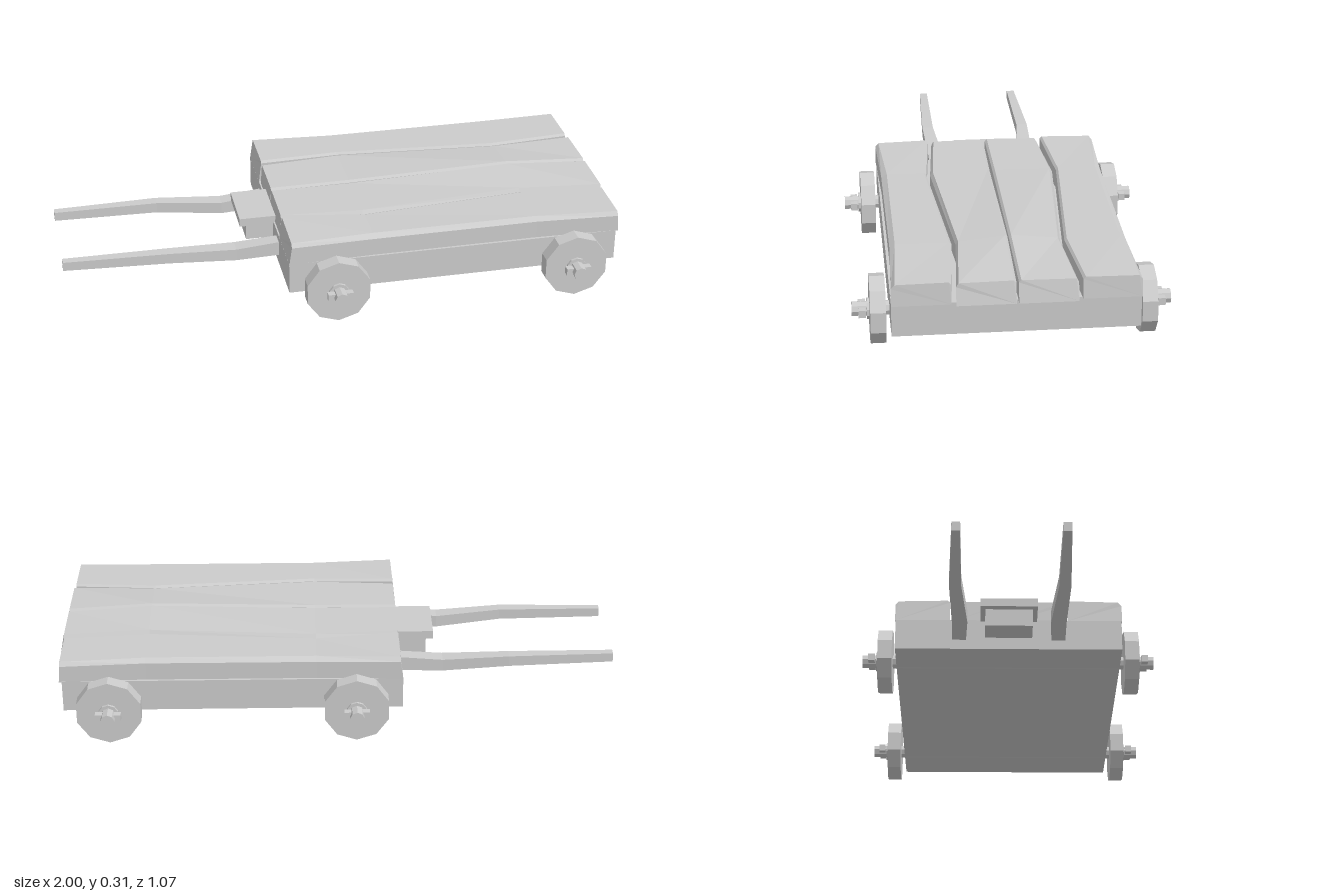
import * as THREE from 'three';

const material = new THREE.MeshStandardMaterial({ color: 0xcccccc, flatShading: true, roughness: 0.9 });

function add(parent, name, geometry, x = 0, y = 0, z = 0) {
  const mesh = new THREE.Mesh(geometry, material);
  mesh.name = name;
  mesh.position.set(x, y, z);
  parent.add(mesh);
  return mesh;
}

// Box given by its minimum and maximum corners
function addBox(parent, name, [x0, y0, z0], [x1, y1, z1]) {
  return add(parent, name, new THREE.BoxGeometry(x1 - x0, y1 - y0, z1 - z0),
    (x0 + x1) / 2, (y0 + y1) / 2, (z0 + z1) / 2);
}

// Closed solid through cross-sections (loops of [x, y, z]) ordered along +x
function loft(sections) {
  const n = sections[0].length;
  const pos = [];
  const tri = (a, b, c) => pos.push(...a, ...b, ...c);
  for (let s = 0; s < sections.length - 1; s++) {
    const p = sections[s], q = sections[s + 1];
    for (let i = 0; i < n; i++) {
      const j = (i + 1) % n;
      tri(p[i], p[j], q[j]);
      tri(p[i], q[j], q[i]);
    }
  }
  const first = sections[0], last = sections[sections.length - 1];
  for (let i = 1; i < n - 1; i++) {
    tri(first[0], first[i + 1], first[i]);
    tri(last[0], last[i], last[i + 1]);
  }
  const g = new THREE.BufferGeometry();
  g.setAttribute('position', new THREE.Float32BufferAttribute(pos, 3));
  g.computeVertexNormals();
  return g;
}

// Cylinder lying along z
const rod = (r, length, sides) => new THREE.CylinderGeometry(r, r, length, sides).rotateX(Math.PI / 2);

// Worn plank between an inner and an outer edge; side mirrors it across z
// station: [x at bottom, x at top, inner z, outer z, inner y, outer y, outer bevel]
function plank(stations, side) {
  return loft(stations.map(([xb, xt, zi, zo, yi, yo, bevel]) => {
    const loop = [
      [xb, 0.208, zi], [xt, yi - 0.008, zi], [xt, yi, zi + 0.008],
      [xt, yo, zo - bevel], [xt, yo - 0.014, zo], [xb, 0.208, zo],
    ].map(([x, y, z]) => [x, y, z * side]);
    return side > 0 ? loop : loop.reverse();
  }));
}

export function createModel() {
  const cart = new THREE.Group();
  cart.name = 'flatCart';

  // Bed frame
  addBox(cart, 'bedFrame', [-0.225, 0.095, -0.41], [0.975, 0.21, 0.41]);

  const innerPlank = [
    [-0.22, -0.215, 0.003, 0.2, 0.29, 0.288, 0.008],
    [0.08, 0.08, 0.005, 0.224, 0.29, 0.288, 0.01],
    [0.68, 0.68, 0.002, 0.177, 0.305, 0.288, 0.008],
    [1.0, 0.985, 0.004, 0.2, 0.285, 0.283, 0.008],
  ];
  const outerPlank = [
    [-0.225, -0.215, 0.213, 0.412, 0.294, 0.29, 0.012],
    [0.08, 0.08, 0.238, 0.402, 0.286, 0.288, 0.02],
    [0.68, 0.68, 0.191, 0.4, 0.286, 0.288, 0.018],
    [0.985, 0.98, 0.215, 0.41, 0.285, 0.283, 0.012],
  ];
  // Shaft station: [x, inner z, outer z, bottom y, top y]
  const shaft = [
    [-1, 0.168, 0.197, 0.153, 0.186],
    [-0.62, 0.168, 0.21, 0.146, 0.185],
    [-0.38, 0.148, 0.203, 0.126, 0.17],
    [-0.2, 0.155, 0.205, 0.132, 0.186],
  ];

  for (const side of [1, -1]) {
    const label = side > 0 ? 'Front' : 'Back';
    add(cart, `innerPlank${label}`, plank(innerPlank, side));
    add(cart, `outerPlank${label}`, plank(outerPlank, side));

    // Pull shafts
    add(cart, `shaft${label}`, loft(shaft.map(([x, zi, zo, y0, y1]) => {
      const [a, b] = side > 0 ? [zi, zo] : [-zo, -zi];
      return [[x, y0, a], [x, y1, a], [x, y1, b], [x, y0, b]];
    })));
  }

  // Footboard on its support block
  addBox(cart, 'footboardBlock', [-0.325, 0.14, -0.085], [-0.22, 0.207, 0.085]);
  addBox(cart, 'footboard', [-0.35, 0.205, -0.103], [-0.21, 0.236, 0.103]);

  // Axles with wheels, hub washers and linchpins
  for (const x of [-0.06, 0.81]) {
    const wheelSet = new THREE.Group();
    wheelSet.name = x < 0 ? 'leadingWheels' : 'trailingWheels';
    wheelSet.position.set(x, 0.118, 0);
    cart.add(wheelSet);
    add(wheelSet, 'axle', rod(0.025, 1.07, 8));
    for (const side of [1, -1]) {
      add(wheelSet, 'wheel', rod(0.118, 0.052, 10), 0, 0, side * 0.45);
      add(wheelSet, 'hubWasher', rod(0.036, 0.01, 10), 0, 0, side * 0.48);
      add(wheelSet, 'linchpin', new THREE.BoxGeometry(0.09, 0.026, 0.024), 0, 0, side * 0.501);
    }
  }
  return cart;
}
